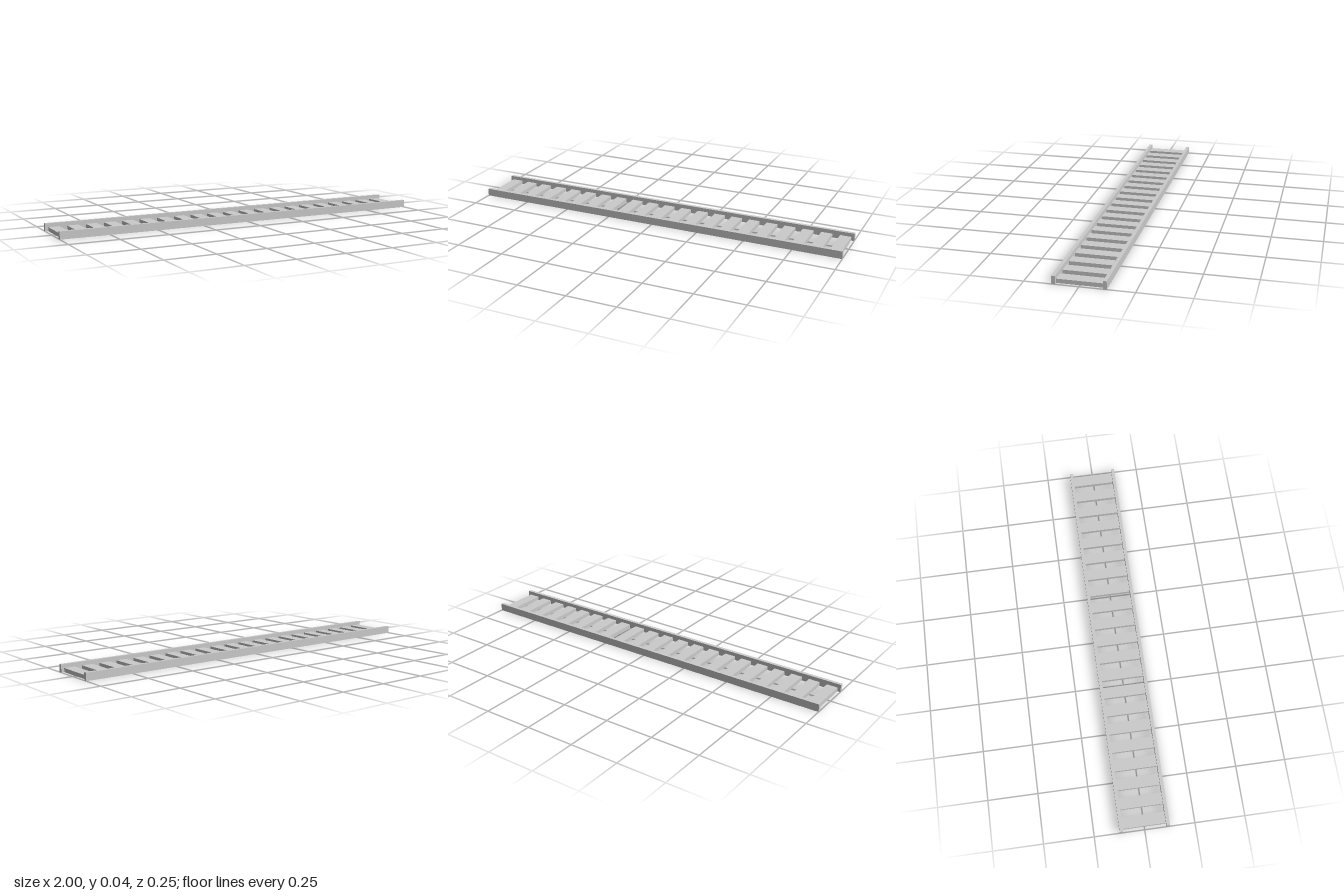
import * as THREE from 'three';

const LENGTH = 2;
const RAIL = { height: 0.039, thickness: 0.017, z: 0.1155 };
const RUNG = { count: 21, width: 0.057, height: 0.02, span: 0.214, pitch: 0.0956 };

export function createModel() {
  const model = new THREE.Group();
  model.name = 'ladder';
  const material = new THREE.MeshStandardMaterial({ color: 0xcccccc });

  // Box standing on the ground at the given x and z
  const addBox = (name, w, h, d, x, z) => {
    const mesh = new THREE.Mesh(new THREE.BoxGeometry(w, h, d), material);
    mesh.name = name;
    mesh.position.set(x, h / 2, z);
    model.add(mesh);
  };

  // Long side rails
  addBox('frontRail', LENGTH, RAIL.height, RAIL.thickness, 0, RAIL.z);
  addBox('backRail', LENGTH, RAIL.height, RAIL.thickness, 0, -RAIL.z);

  // Flat rungs between the rails, evenly spaced about the middle
  for (let i = 0; i < RUNG.count; i++) {
    const x = (i - (RUNG.count - 1) / 2) * RUNG.pitch;
    addBox(`rung${i + 1}`, RUNG.width, RUNG.height, RUNG.span, x, 0);
  }
  return model;
}
